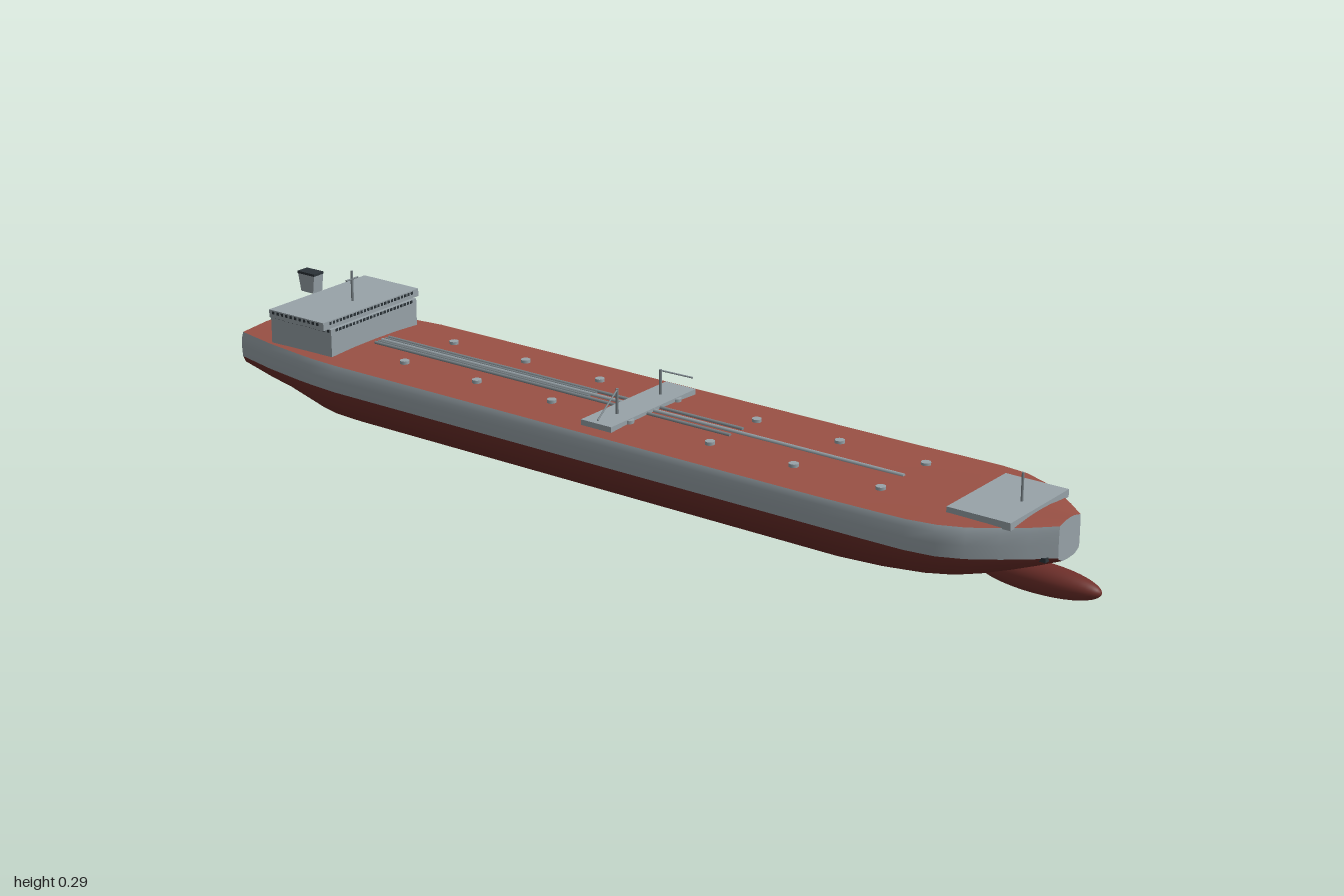
import * as THREE from 'three';
import { mergeGeometries } from 'three/addons/utils/BufferGeometryUtils.js';

const mat = (color, side = THREE.FrontSide) => new THREE.MeshStandardMaterial({ color, side });
const RED = 0x6e2f2a, DECK = 0x9a5145, GREY = 0x98a3a9, PIPE = 0x7c868b, DARK = 0x2b3338;
const WATERLINE = 0.097;

// Stations along the hull: x, half width, keel height, deck edge height
const STATIONS = [
  [-1, 0.122, 0.055, 0.15], [-0.9, 0.146, 0.032, 0.151], [-0.8, 0.163, 0.009, 0.152],
  [-0.76, 0.168, 0.003, 0.152], [-0.69, 0.174, 0.002, 0.153], [0, 0.175, 0.002, 0.153],
  [0.5, 0.175, 0.002, 0.153], [0.6, 0.175, 0.008, 0.154], [0.69, 0.174, 0.019, 0.155],
  [0.75, 0.165, 0.03, 0.156], [0.8, 0.143, 0.043, 0.156], [0.85, 0.108, 0.058, 0.157],
  [0.89, 0.076, 0.071, 0.157], [0.93, 0.038, 0.085, 0.158],
];

const mirrorZ = (pts) => pts.map(([x, y, z]) => [x, y, -z]).reverse();

// One side of the cross-section, split at the waterline
function section([x, w, k, d]) {
  const h = WATERLINE - k;
  const low = [[0.985, WATERLINE], [0.92, k + h * 0.66], [0.56, k + h * 0.11]]
    .map(([f, y]) => [x, y, w * f]);
  const topside = [[0.955, d], [0.99, d - 0.012], [1, 0.123], [0.985, WATERLINE]]
    .map(([f, y]) => [x, y, w * f]);
  return {
    bottom: [...low, [x, k, 0], ...mirrorZ(low)],
    left: topside,
    right: mirrorZ(topside),
    deck: [[x, d, -w * 0.955], [x, d + 0.005, -w * 0.4], [x, d + 0.006, 0],
      [x, d + 0.005, w * 0.4], [x, d, w * 0.955]],
  };
}

// Skin joining equal rows of points
function loft(rows) {
  const n = rows[0].length, index = [];
  for (let i = 0; i < rows.length - 1; i++) {
    for (let j = 0; j < n - 1; j++) {
      const a = i * n + j, b = a + 1, c = a + n, d = c + 1;
      index.push(a, b, c, b, d, c);
    }
  }
  return skin(rows.flat(), index);
}

function skin(points, index) {
  const g = new THREE.BufferGeometry();
  g.setAttribute('position', new THREE.Float32BufferAttribute(points.flat(), 3));
  g.setIndex(index);
  g.computeVertexNormals();
  return g;
}

// Flat end plate closing the hull
function endPlate(s, faceForward) {
  const ring = [...s.bottom, ...s.right.slice(1), ...s.deck.slice(1), ...s.left.slice(1, -1)];
  const index = [];
  for (let i = 1; i < ring.length - 1; i++) {
    index.push(0, ...(faceForward ? [i, i + 1] : [i + 1, i]));
  }
  return skin(ring, index);
}

export function createModel() {
  const model = new THREE.Group();
  const add = (name, geometry, color, parent = model) => {
    const mesh = new THREE.Mesh(geometry, mat(color));
    mesh.name = name;
    parent.add(mesh);
    return mesh;
  };
  // Box given by its limits on each axis
  const boxGeo = (x0, x1, y0, y1, z0, z1) => new THREE.BoxGeometry(x1 - x0, y1 - y0, z1 - z0)
    .translate((x0 + x1) / 2, (y0 + y1) / 2, (z0 + z1) / 2);
  // Round bar between two points
  const bar = (name, a, b, r, color = PIPE, parent = model) => {
    const p = new THREE.Vector3(...a), q = new THREE.Vector3(...b);
    const dir = q.clone().sub(p);
    const m = add(name, new THREE.CylinderGeometry(r, r, dir.length(), 8), color, parent);
    m.position.copy(p).add(q).multiplyScalar(0.5);
    m.quaternion.setFromUnitVectors(new THREE.Vector3(0, 1, 0), dir.normalize());
    return m;
  };

  // Hull
  const sections = STATIONS.map(section);
  add('lowerHull', loft(sections.map((s) => s.bottom)), RED);
  add('leftTopside', loft(sections.map((s) => s.left)), GREY);
  add('rightTopside', loft(sections.map((s) => s.right)), GREY);
  add('deck', loft(sections.map((s) => s.deck)), DECK);
  add('transom', endPlate(sections[0], false), GREY);
  add('bowPlate', endPlate(sections.at(-1), true), GREY);

  // Bulbous bow
  const bulb = add('bulb', new THREE.SphereGeometry(1, 32, 20).rotateZ(-Math.PI / 2), RED);
  bulb.scale.set(0.13, 0.03, 0.033);
  bulb.position.set(0.87, 0.033, 0);

  // Deckhouse and bridge
  add('deckhouse', boxGeo(-0.9, -0.73, 0.145, 0.213, -0.132, 0.132), GREY);
  add('bridge', boxGeo(-0.89, -0.737, 0.213, 0.23, -0.147, 0.147), GREY);

  // Window rows on the forward face and both sides
  const panes = [];
  for (const [y, front, back, half] of [[0.2245, -0.737, -0.89, 0.147], [0.209, -0.73, -0.9, 0.132]]) {
    const count = Math.floor(half / 0.0105);
    for (let i = -count + 1; i < count; i++) {
      const z = i * 0.0105;
      panes.push(boxGeo(front - 0.002, front + 0.001, y - 0.003, y + 0.003, z - 0.003, z + 0.003));
    }
    for (const s of [-1, 1]) {
      for (let x = back + 0.012; x < front - 0.008; x += 0.0125) {
        panes.push(boxGeo(x - 0.003, x + 0.003, y - 0.003, y + 0.003, s * half - 0.001, s * half + 0.001));
      }
    }
  }
  add('windows', mergeGeometries(panes), DARK);

  // Funnel, raked aft towards its top
  const funnel = boxGeo(-0.924, -0.89, 0.23, 0.271, -0.014, 0.014);
  const fp = funnel.attributes.position;
  for (let i = 0; i < fp.count; i++) {
    if (fp.getY(i) > 0.25) fp.setX(i, fp.getX(i) < -0.9 ? -0.932 : -0.885);
  }
  funnel.computeVertexNormals();
  add('funnel', funnel, GREY);
  add('funnelCap', boxGeo(-0.932, -0.885, 0.268, 0.273, -0.0145, 0.0145), DARK);

  // Masts
  bar('mainMast', [-0.79, 0.23, 0], [-0.79, 0.296, 0], 0.0028);
  bar('mastYard', [-0.79, 0.278, -0.018], [-0.79, 0.278, 0.018], 0.002);
  bar('foreMast', [0.83, 0.165, 0], [0.83, 0.226, 0], 0.0025);

  // Forecastle platform
  add('forecastlePlatform', boxGeo(0.735, 0.868, 0.155, 0.17, -0.103, 0.103), GREY);

  // Deck pipes
  bar('centrePipe', [-0.71, 0.16, 0], [0.58, 0.16, 0], 0.0045, GREY);
  for (const s of [-1, 1]) {
    bar('longPipe', [-0.71, 0.16, s * 0.021], [0.2, 0.16, s * 0.021], 0.004);
    bar('shortPipe', [-0.71, 0.16, s * 0.011], [-0.15, 0.16, s * 0.011], 0.0035);
  }

  // Manifold platform with a pair of hose cranes
  add('manifoldPlatform', boxGeo(-0.072, 0.002, 0.15, 0.166, -0.137, 0.137), GREY);
  for (const s of [-1, 1]) {
    const crane = new THREE.Group();
    crane.name = s > 0 ? 'leftCrane' : 'rightCrane';
    bar('cranePost', [-0.035, 0.164, s * 0.07], [-0.035, 0.218, s * 0.07], 0.003, PIPE, crane);
    bar('craneBoom', [-0.035, 0.217, s * 0.068], [-0.018, 0.181, s * 0.153], 0.0018, PIPE, crane);
    model.add(crane);
  }

  // Tank hatches in two rows
  for (let i = -3; i <= 3; i++) {
    for (const s of [-1, 1]) {
      add('tankHatch', new THREE.CylinderGeometry(0.01, 0.01, 0.008, 10), GREY)
        .position.set(i * 0.193, 0.16, s * 0.077);
    }
  }

  // Anchors on each side of the bow
  for (const s of [-1, 1]) {
    add('anchor', boxGeo(0.893, 0.917, 0.091, 0.099, s * 0.049 - 0.01, s * 0.049 + 0.01), DARK);
  }
  return model;
}
